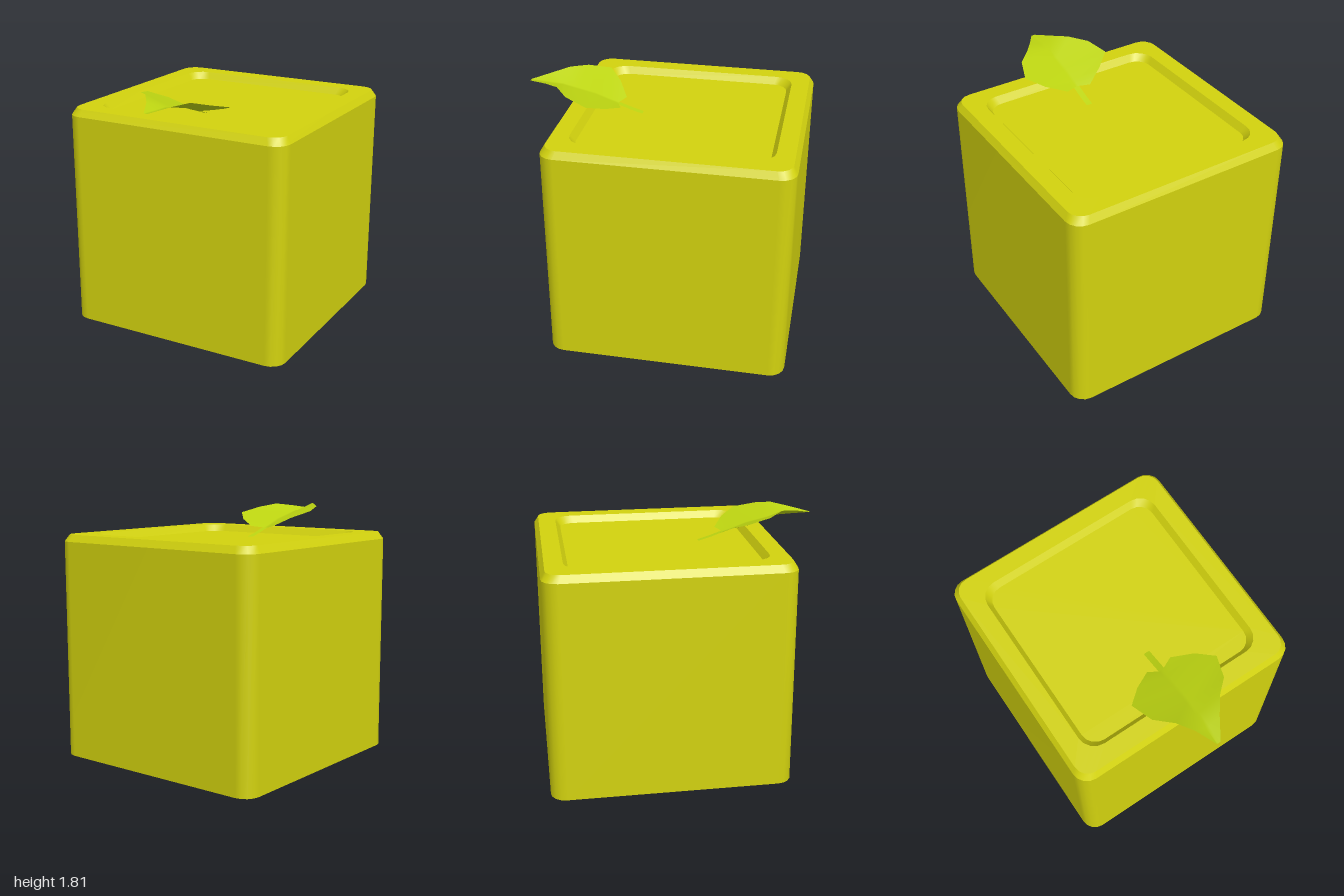
import * as THREE from 'three';

const CENTER_Z = -0.1425;

// Corner points of a rounded square, running from +x towards +z
function ring(half, radius, y, steps = 4) {
  const points = [];
  for (let corner = 0; corner < 4; corner++) {
    const mid = (corner + 0.5) * Math.PI / 2;
    const cx = Math.sign(Math.cos(mid)) * (half - radius);
    const cz = Math.sign(Math.sin(mid)) * (half - radius);
    for (let s = 0; s <= steps; s++) {
      const a = (corner + s / steps) * Math.PI / 2;
      points.push([cx + radius * Math.cos(a), y, cz + radius * Math.sin(a) + CENTER_Z]);
    }
  }
  return points;
}

// Surface through rows of points, all rows having the same count
function loft(rows, closed) {
  const n = rows[0].length;
  const index = [];
  for (let r = 0; r < rows.length - 1; r++) {
    for (let i = 0; i < (closed ? n : n - 1); i++) {
      const j = (i + 1) % n;
      const a = r * n + i, b = r * n + j, c = a + n, d = b + n;
      index.push(a, c, b, b, c, d);
    }
  }
  return build(rows.flat(), index);
}

// Flat fan closing one ring
function cap(points, faceUp) {
  const index = [];
  for (let i = 1; i < points.length - 1; i++) {
    index.push(0, ...(faceUp ? [i + 1, i] : [i, i + 1]));
  }
  return build(points, index);
}

function build(points, index) {
  const geometry = new THREE.BufferGeometry();
  geometry.setAttribute('position', new THREE.Float32BufferAttribute(points.flat(), 3));
  geometry.setIndex(index);
  geometry.computeVertexNormals();
  return geometry;
}

export function createModel() {
  const group = new THREE.Group();
  const yellow = new THREE.MeshStandardMaterial({ color: 0xd2d20e });
  yellow.name = 'yellow';
  const leafGreen = new THREE.MeshStandardMaterial({ color: 0xbcd411, side: THREE.DoubleSide });
  leafGreen.name = 'leaf green';

  const add = (name, geometry, material) => {
    const mesh = new THREE.Mesh(geometry, material);
    mesh.name = name;
    group.add(mesh);
  };

  // Block: each band has its own vertices so the edges between stay sharp
  const rings = [
    ring(0.857, 0.11, 0),
    ring(0.857, 0.11, 1.57),
    ring(0.827, 0.1, 1.62),
    ring(0.7, 0.125, 1.62),
    ring(0.665, 0.11, 1.57),
  ];
  ['walls', 'topBevel', 'topRim', 'recessWall'].forEach((name, i) => {
    add(name, loft([rings[i], rings[i + 1]], true), yellow);
  });
  add('base', cap(rings[0], false), yellow);
  add('recessFloor', cap(rings[4], true), yellow);

  // Leaf: left edge, midrib height and depth, right edge, from stem to tip
  const sections = [
    [-0.07, 1.64, 0.31, 1.63, 0.35, 0.12, 1.64, 0.31],
    [-0.2, 1.71, 0.385, 1.65, 0.41, 0.26, 1.685, 0.39],
    [-0.31, 1.76, 0.48, 1.69, 0.52, 0.36, 1.73, 0.5],
    [-0.26, 1.79, 0.64, 1.722, 0.66, 0.3, 1.77, 0.66],
    [-0.15, 1.81, 0.75, 1.745, 0.76, 0.2, 1.795, 0.75],
    [-0.07, 1.79, 0.86, 1.75, 0.87, 0.12, 1.78, 0.86],
    [0, 1.755, 1, 1.755, 1, 0.03, 1.755, 1],
  ];
  const leafRows = sections.map(([lx, ly, lz, my, mz, rx, ry, rz]) => [
    [lx, ly, lz], [0.005, my, mz], [0.03, my, mz], [rx, ry, rz],
  ]);
  add('leaf', loft(leafRows, false), leafGreen);

  // Stem strip reaching down into the recess
  const stem = [[0.17, 1.572], [0.25, 1.595], [0.35, 1.63]];
  add('stem', loft(stem.map(([z, y]) => [[0, y, z], [0.045, y, z]]), false), leafGreen);

  return group;
}
